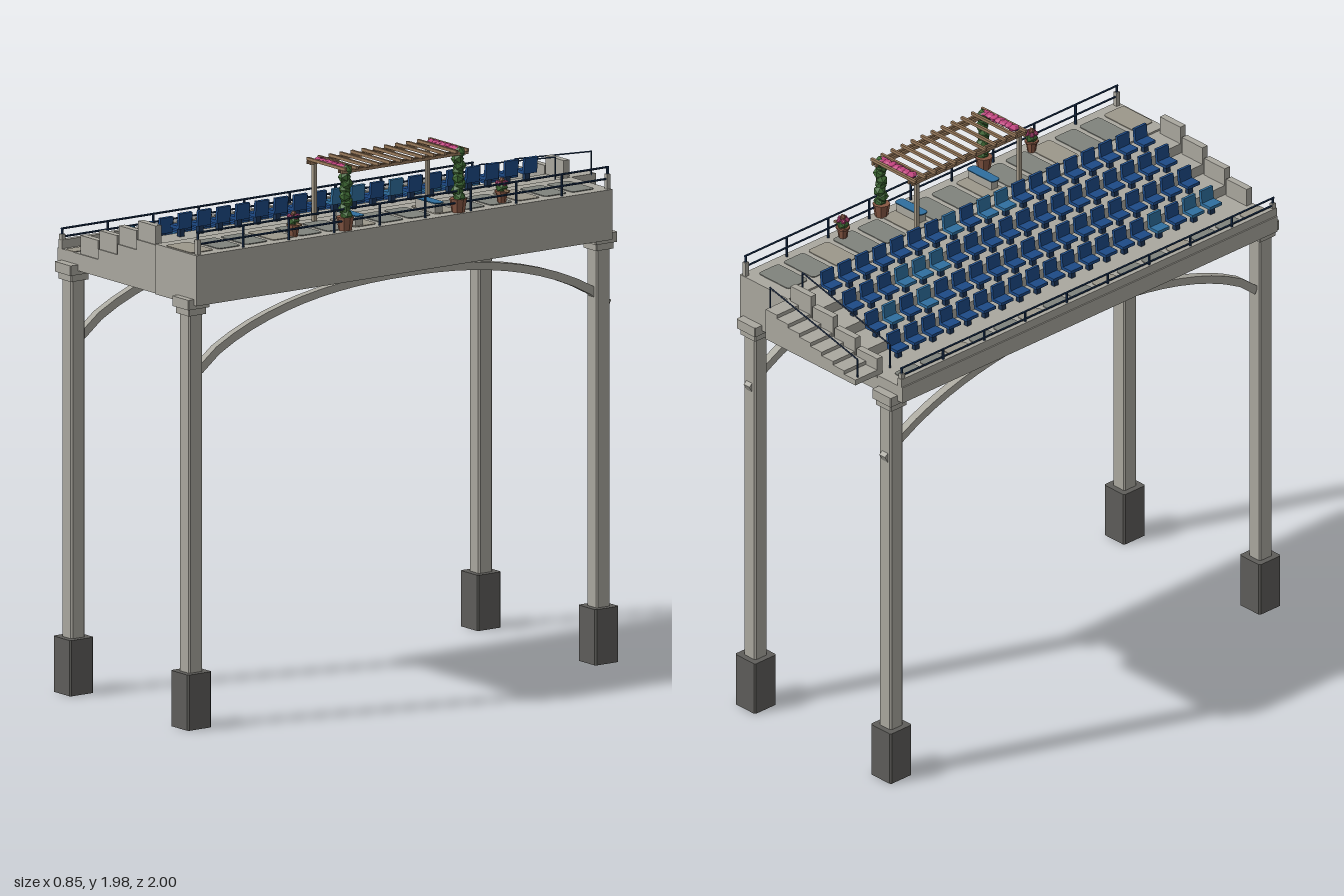
import * as THREE from 'three';

const mats = {};
const mat = (c) => (mats[c] ??= new THREE.MeshStandardMaterial({ color: c, flatShading: true }));
const STONE = 0xaaa89f, DARK = 0x5e5d5a, NAVY = 0x1d4a86, BLUE = 0x2f6f9f, RAIL = 0x1c3557;
const WOOD = 0x9a7b5c, GREEN = 0x3f6b35, PINK = 0xc2447f, CLAY = 0x8a5a45;

export function createModel() {
  const model = new THREE.Group();
  model.name = 'seatingPlatform';

  const add = (name, geo, color, x = 0, y = 0, z = 0, parent = model) => {
    const m = new THREE.Mesh(geo, mat(color));
    m.name = name;
    m.position.set(x, y, z);
    parent.add(m);
    return m;
  };
  // Box given by its limits
  const box = (name, color, x0, x1, y0, y1, z0, z1, parent = model) =>
    add(name, new THREE.BoxGeometry(x1 - x0, y1 - y0, z1 - z0), color,
      (x0 + x1) / 2, (y0 + y1) / 2, (z0 + z1) / 2, parent);
  // Round bar between two points
  const bar = (name, color, a, b, r, parent = model) => {
    const p = new THREE.Vector3(...a), q = new THREE.Vector3(...b), d = q.clone().sub(p);
    const m = add(name, new THREE.CylinderGeometry(r, r, d.length(), 6), color, 0, 0, 0, parent);
    m.position.copy(p).add(q).multiplyScalar(0.5);
    m.quaternion.setFromUnitVectors(new THREE.Vector3(0, 1, 0), d.normalize());
    return m;
  };
  const polygon = (pts) => new THREE.Shape(pts.map(([x, y]) => new THREE.Vector2(x, y)));
  // Upright square prism with cut corners
  const prism = (name, color, h, c, y0, y1, x, z) => {
    const k = h - c;
    const s = polygon([[h, -k], [h, k], [k, h], [-k, h], [-h, k], [-h, -k], [-k, -h], [k, -h]]);
    const g = new THREE.ExtrudeGeometry(s, { depth: y1 - y0, bevelEnabled: false }).rotateX(-Math.PI / 2);
    return add(name, g, color, x, y0, z);
  };

  // Columns with footings and capitals
  for (const x of [-0.355, 0.355]) {
    for (const z of [-0.875, 0.945]) {
      prism('footing', DARK, 0.053, 0.006, 0, 0.205, x, z);
      prism('column', STONE, 0.031, 0.006, 0.2, 1.53, x, z);
      prism('capital', STONE, 0.04, 0.003, 1.52, 1.565, x, z);
      prism('capitalPlate', STONE, 0.049, 0.003, 1.545, 1.582, x, z);
    }
    // Arched brace along each side
    const top = [], under = [];
    for (let i = 0; i <= 24; i++) {
      const t = -1 + i / 12;
      const y = 1.325 + 0.235 * Math.pow(1 - Math.pow(Math.abs(t), 2.3), 0.8);
      top.push([t * 0.92, y]);
      under.unshift([t * 0.905, y - 0.028]);
    }
    const g = new THREE.ExtrudeGeometry(polygon([...top, ...under]), { depth: 0.03, bevelEnabled: false });
    add('archBrace', g.translate(0, 0, -0.015).rotateY(-Math.PI / 2), STONE, x, 0, 0);
  }

  // Stepped deck: one cross-section carried along z
  const tierX = [-0.3, -0.185, -0.068, 0.047], tierY = [1.623, 1.661, 1.7, 1.738];
  const profile = [[-0.43, 1.56], [0.42, 1.56], [0.42, 1.745], [0.17, 1.745], [0.17, 1.738]];
  for (let i = 3; i > 0; i--) profile.push([tierX[i], tierY[i]], [tierX[i], tierY[i - 1]]);
  profile.push([-0.43, 1.623]);
  const deck = new THREE.ExtrudeGeometry(polygon(profile), { depth: 1.85, bevelEnabled: false });
  add('steppedDeck', deck, STONE, 0, 0, -0.89);
  box('upperTerraceEnd', STONE, 0.17, 0.42, 1.56, 1.745, 0.95, 0.968);
  box('lowParapet', STONE, -0.425, -0.405, 1.62, 1.655, -0.89, 0.96);

  // Stepped end walls beside the seats
  for (const z of [-0.88, 0.942])
    tierX.forEach((x, i) =>
      box('endWall', STONE, x, x + 0.107, tierY[i] - 0.01, tierY[i] + 0.068, z - 0.013, z + 0.013));

  // Seats on the four tiers
  const lightSeats = [[15, 17, 18], [1, 3], [3, 4, 5], [7, 9, 10]];
  const squab = new THREE.BoxGeometry(0.052, 0.012, 0.058);
  const back = new THREE.BoxGeometry(0.012, 0.058, 0.058);
  const foot = new THREE.BoxGeometry(0.018, 0.034, 0.02);
  tierX.forEach((x, i) => {
    for (let j = 0; j < 19; j++) {
      const seat = new THREE.Group();
      seat.name = 'seat';
      seat.position.set(x + 0.05, tierY[i], -0.742 + j * 0.0857);
      const c = lightSeats[i].includes(j) ? BLUE : NAVY;
      add('seatFoot', foot, RAIL, 0, 0.017, 0, seat);
      add('seatSquab', squab, c, 0, 0.038, 0, seat);
      add('seatBack', back, c, 0.024, 0.063, 0, seat).rotation.z = -0.1;
      model.add(seat);
    }
  });

  // Paving pads on the walkway and the terrace
  const pad = (x0, x1, y, z, c, d = 0.1) => {
    const w = x1 - x0, r = 0.016, s = new THREE.Shape();
    s.moveTo(r, 0).lineTo(w - r, 0).quadraticCurveTo(w, 0, w, r).lineTo(w, d - r)
      .quadraticCurveTo(w, d, w - r, d).lineTo(r, d).quadraticCurveTo(0, d, 0, d - r)
      .lineTo(0, r).quadraticCurveTo(0, 0, r, 0);
    const g = new THREE.ExtrudeGeometry(s, { depth: 0.004, bevelEnabled: false, curveSegments: 4 });
    return add('pavingPad', g.rotateX(-Math.PI / 2), c, x0, y, z + d / 2);
  };
  for (let i = 0; i < 15; i++) {
    const z = -0.79 + i * 0.1215, c = i % 3 === 2 ? 0x9c978a : 0x80837d;
    pad(-0.385, -0.33, 1.622, z, c);
    pad(0.22, 0.38, 1.744, z, c);
  }

  // Long railings on both sides
  const railing = (x, y0, heights, posts) => {
    const g = new THREE.Group();
    g.name = 'sideRailing';
    model.add(g);
    for (const h of heights) bar('handrail', RAIL, [x, y0 + h, -0.885], [x, y0 + h, 0.955], 0.004, g);
    for (let i = 0; i <= posts; i++) {
      const z = -0.88 + (1.83 * i) / posts;
      bar('railPost', RAIL, [x, y0, z], [x, y0 + heights.at(-1), z], 0.005, g);
    }
  };
  railing(0.402, 1.74, [0.042, 0.085], 9);
  railing(-0.415, 1.62, [0.045, 0.075], 9);
  for (const z of [-0.88, 0.95]) {
    box('railEndPost', STONE, 0.394, 0.41, 1.74, 1.8, z - 0.008, z + 0.008);
    box('railEndPost', STONE, -0.423, -0.407, 1.62, 1.675, z - 0.008, z + 0.008);
  }

  // Back staircase and its sloping handrails
  const steps = 8, w = 0.47 / steps;
  for (let i = 0; i < steps; i++)
    box('stairStep', STONE, -0.3 + i * w, -0.3 + (i + 1) * w, 1.623, 1.645 + (0.1 * i) / (steps - 1), -1, -0.885);
  for (const z of [-0.98, -0.82]) {
    bar('stairHandrail', RAIL, [-0.29, 1.718, z], [0.17, 1.828, z], 0.003);
    for (const [x, y0, y1] of [[-0.29, 1.62, 1.718], [0.168, 1.74, 1.828]])
      bar('stairRailPost', RAIL, [x, y0, z], [x, y1, z], 0.003);
  }

  // Benches under the pergola
  for (const z of [-0.15, 0.205]) {
    box('benchBase', STONE, 0.25, 0.37, 1.745, 1.782, z - 0.016, z + 0.016);
    pad(0.24, 0.38, 1.782, z, BLUE, 0.042).name = 'benchTop';
  }

  // Pergola with climbing plants and flowers
  const pergola = new THREE.Group();
  pergola.name = 'pergola';
  model.add(pergola);
  for (const x of [0.205, 0.395])
    for (const dx of [-0.009, 0.009])
      box('pergolaBeam', WOOD, x + dx - 0.004, x + dx + 0.004, 1.957, 1.969, -0.255, 0.31, pergola);
  for (let i = 0; i < 12; i++) {
    const z = -0.245 + i * 0.0495;
    box('pergolaSlat', WOOD, 0.185, 0.418, 1.968, 1.979, z - 0.005, z + 0.005, pergola);
  }
  for (const z of [-0.222, 0.283]) {
    for (const x of [0.205, 0.395])
      box('pergolaPost', 0xa59a88, x - 0.007, x + 0.007, 1.745, 1.96, z - 0.007, z + 0.007, pergola);
    add('vinePlanter', new THREE.CylinderGeometry(0.032, 0.024, 0.05, 8), CLAY, 0.39, 1.77, z, pergola);
    for (let i = 0; i < 8; i++) {
      const m = add('vineLeaves', new THREE.IcosahedronGeometry(0.024, 0), GREEN,
        0.393 + 0.005 * Math.cos(i * 2.4), 1.8 + i * 0.0235, z + 0.005 * Math.sin(i * 2.4), pergola);
      m.rotation.y = i * 1.3;
    }
    for (let i = 0; i < 7; i++) {
      const m = add('flowerCluster', new THREE.IcosahedronGeometry(0.02, 0), PINK, 0.232 + i * 0.025, 1.975, z, pergola);
      m.scale.set(0.95, 0.55, 1.2);
      m.rotation.y = i * 0.9;
    }
  }

  // Potted plants on the terrace
  for (const z of [-0.435, 0.495]) {
    const pot = new THREE.Group();
    pot.name = 'pottedPlant';
    pot.position.set(0.365, 1.745, z);
    model.add(pot);
    add('pot', new THREE.CylinderGeometry(0.022, 0.015, 0.04, 8), CLAY, 0, 0.02, 0, pot);
    add('potRim', new THREE.CylinderGeometry(0.026, 0.026, 0.008, 8), CLAY, 0, 0.042, 0, pot);
    add('foliage', new THREE.IcosahedronGeometry(0.024, 0), GREEN, 0, 0.058, 0, pot);
    for (let i = 0; i < 5; i++) {
      const a = i * Math.PI * 0.4;
      add('flower', new THREE.IcosahedronGeometry(0.01, 0), PINK, 0.016 * Math.cos(a), 0.074, 0.016 * Math.sin(a), pot);
    }
    add('plantTip', new THREE.IcosahedronGeometry(0.012, 0), CLAY, 0, 0.084, 0, pot);
    box('plantStake', WOOD, 0.02, 0.045, 0.046, 0.054, -0.004, 0.004, pot);
  }
  return model;
}
